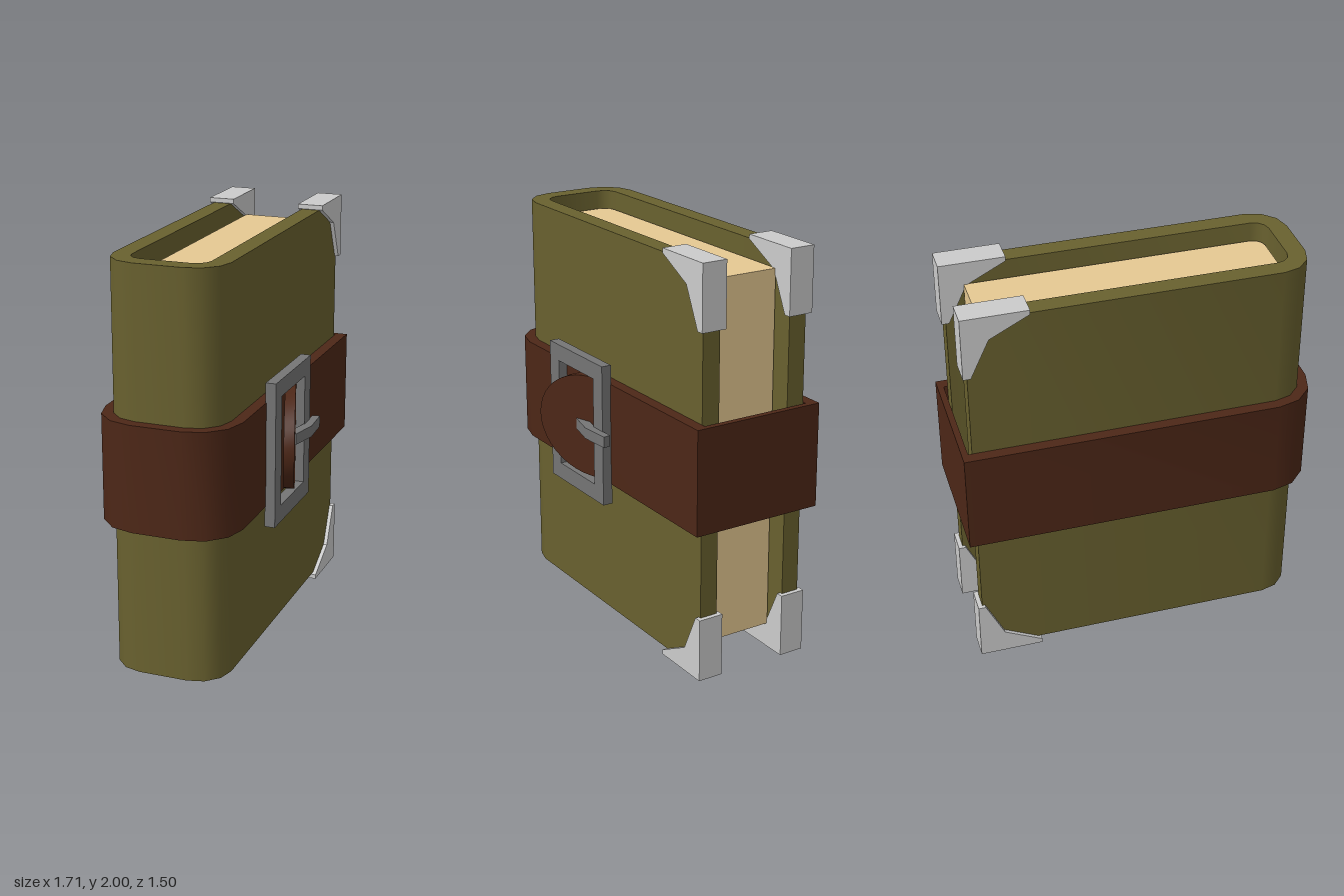
import * as THREE from 'three';
import { toCreasedNormals } from 'three/addons/utils/BufferGeometryUtils.js';

const mat = (color) => new THREE.MeshStandardMaterial({ color });
const leather = mat(0x69612f), strapBrown = mat(0x4d2717), paper = mat(0xe6c992);
const steel = mat(0xcccccc), iron = mat(0x757575);

const MID = 0.006; // middle of the book's thickness
const ARC_X = -0.722, ARC_Z = 0.118; // centres of the rounded spine corners

const toShape = (pts) => new THREE.Shape(pts.map(([x, y]) => new THREE.Vector2(x, y)));

// U-shaped outline: straight sides from x = end, rounded spine corners of radius r
function spineOutline(end, r) {
  const pts = [[end, ARC_Z + r]];
  for (const side of [1, -1]) {
    for (let i = 0; i <= 3; i++) {
      const a = (side > 0 ? i : 3 - i) * Math.PI / 6;
      pts.push([ARC_X - r * Math.sin(a), side * (ARC_Z + r * Math.cos(a))]);
    }
  }
  pts.push([end, -ARC_Z - r]);
  return pts;
}

function extrude(name, shape, depth, material) {
  const geo = new THREE.ExtrudeGeometry(shape, { depth, bevelEnabled: false, curveSegments: 10 });
  const mesh = new THREE.Mesh(toCreasedNormals(geo, 0.6), material);
  mesh.name = name;
  return mesh;
}

// Plan outline extruded upward from y0 to y1
function upright(name, shape, y0, y1, material, z = MID) {
  const mesh = extrude(name, shape, y1 - y0, material);
  mesh.geometry.rotateX(-Math.PI / 2);
  mesh.position.set(0, y0, z);
  return mesh;
}

export function createModel() {
  const root = new THREE.Group();
  root.name = 'strappedBook';
  const book = new THREE.Group();
  book.name = 'book';
  book.rotation.y = Math.asin(0.6);
  root.add(book);

  // Cover and pages
  const coverPts = [...spineOutline(0.764, 0.16), ...spineOutline(0.764, 0.07).reverse()];
  book.add(upright('cover', toShape(coverPts), 0.03, 1.975, leather));
  book.add(upright('pages', toShape(spineOutline(0.67, 0.057)), 0.12, 1.885, paper));

  // Strap: closed band around the book
  const strap = toShape(spineOutline(0.813, 0.216));
  strap.holes.push(toShape(spineOutline(0.783, 0.161)));
  book.add(upright('strap', strap, 0.75, 1.26, strapBrown));

  // Metal corner guards, top and bottom of both boards
  const guard = [[0.47, 1], [0.47, 0.978], [0.66, 0.88], [0.75, 0.688], [0.786, 0.688], [0.786, 1]];
  for (const side of [1, -1]) {
    for (const end of [1, -1]) {
      const pts = guard.map(([x, y]) => [x, 1 + end * y]);
      const mesh = extrude('cornerGuard', toShape(pts), 0.126, steel);
      mesh.position.z = MID + side * 0.234 - 0.063;
      book.add(mesh);
    }
  }

  // Buckle frame
  const rect = (x0, x1, y0, y1) => toShape([[x0, y0], [x1, y0], [x1, y1], [x0, y1]]);
  const frame = rect(-0.424, 0.074, 0.65, 1.355);
  frame.holes.push(rect(-0.339, -0.01, 0.733, 1.273));
  const buckle = extrude('buckleFrame', frame, 0.05, iron);
  buckle.position.z = 0.336;
  book.add(buckle);

  // Buckle prong, bent over the bar
  const prong = [[-0.16, 0.345], [-0.16, 0.395], [-0.02, 0.427], [0.138, 0.417], [0.134, 0.381], [0, 0.383]];
  book.add(upright('buckleProng', toShape(prong.map(([x, z]) => [x, -z])), 0.975, 1.03, iron, 0));

  // Strap tongue with a rounded end, lifting out through the buckle
  const tongueShape = new THREE.Shape();
  tongueShape.moveTo(0.07, -0.255);
  tongueShape.lineTo(0.07, 0.255);
  tongueShape.lineTo(0, 0.255);
  tongueShape.absellipse(0, 0, 0.33, 0.255, Math.PI / 2, Math.PI * 1.5, false);
  const tongue = extrude('strapTongue', tongueShape, 0.05, strapBrown);
  tongue.geometry.translate(0, 0, -0.025);
  tongue.rotation.y = Math.atan(0.325);
  tongue.position.set(-0.085, 1.005, 0.341);
  book.add(tongue);

  return root;
}
